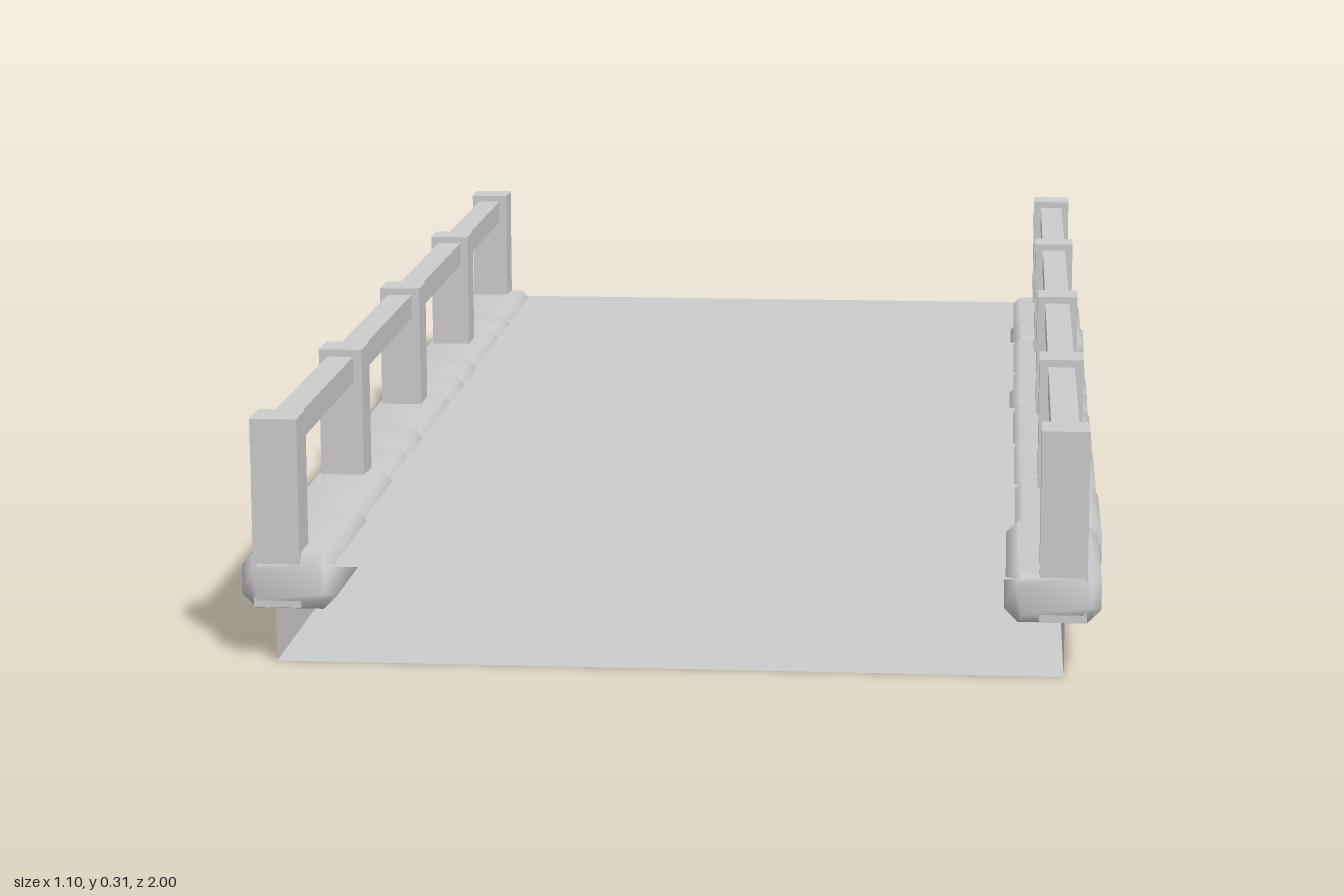
import * as THREE from 'three';
import { mergeVertices } from 'three/addons/utils/BufferGeometryUtils.js';

const grey = new THREE.MeshStandardMaterial({ color: 0xcccccc });
const greyDouble = new THREE.MeshStandardMaterial({ color: 0xcccccc, side: THREE.DoubleSide });

function box(name, w, h, d, x, y, z) {
  const mesh = new THREE.Mesh(new THREE.BoxGeometry(w, h, d), grey);
  mesh.name = name;
  mesh.position.set(x, y, z);
  return mesh;
}

// Chamfered block running along z, softly shaded across its edges
function stoneGeometry(w, h, length) {
  const bevel = 0.013, c = 0.01;
  const x = w / 2 - bevel, y = h / 2 - bevel;
  const shape = new THREE.Shape([
    [x, c - y], [x, y - c], [x - c, y], [c - x, y],
    [-x, y - c], [-x, c - y], [c - x, -y], [x - c, -y],
  ].map(([px, py]) => new THREE.Vector2(px, py)));
  let geo = new THREE.ExtrudeGeometry(shape, {
    depth: length - 2 * bevel, bevelEnabled: true,
    bevelSize: bevel, bevelThickness: bevel, bevelSegments: 1,
  });
  geo.translate(0, 0, bevel - length / 2);
  geo.deleteAttribute('uv');
  geo.deleteAttribute('normal');
  geo = mergeVertices(geo, 1e-4);
  geo.computeVertexNormals();
  return geo;
}

// Each stone: back z, front z, height of centre, outward shift
const stonesLeft = [
  [-1, -0.735, 0.099, 0], [-0.735, -0.6, 0.107, 0.002], [-0.6, -0.335, 0.099, 0],
  [-0.335, -0.195, 0.099, 0], [-0.195, -0.055, 0.103, -0.002], [-0.055, 0.207, 0.099, 0],
  [0.207, 0.472, 0.098, 0], [0.472, 0.735, 0.098, 0.002], [0.735, 1, 0.104, -0.004],
];
const stonesRight = [
  [-1, -0.735, 0.1, 0.002], [-0.735, -0.6, 0.099, 0], [-0.6, -0.335, 0.099, 0.001],
  [-0.335, -0.2, 0.1, 0], [-0.2, -0.06, 0.1, 0], [-0.06, 0.205, 0.099, 0],
  [0.205, 0.34, 0.1, 0.002], [0.34, 0.51, 0.098, 0], [0.495, 0.755, 0.101, -0.001],
  [0.735, 1, 0.103, -0.005],
];

export function createModel() {
  const model = new THREE.Group();
  model.name = 'bridge';

  // Deck: a hollow slab, open at both ends
  const deckGeo = new THREE.BoxGeometry(1, 0.125, 2);
  deckGeo.setIndex(Array.from(deckGeo.index.array).slice(0, 24));
  deckGeo.clearGroups();
  const deck = new THREE.Mesh(deckGeo, greyDouble);
  deck.name = 'deck';
  deck.position.y = 0.0625;
  model.add(deck);

  for (const side of [1, -1]) {
    const label = side > 0 ? 'left' : 'right';

    // Kerb stones
    const kerb = new THREE.Group();
    kerb.name = label + 'Kerb';
    for (const [z0, z1, y, out] of side > 0 ? stonesLeft : stonesRight) {
      const stone = new THREE.Mesh(stoneGeometry(0.122, 0.074, z1 - z0), grey);
      stone.name = 'kerbStone';
      stone.position.set(side * (0.489 + out), y, (z0 + z1) / 2);
      kerb.add(stone);
    }
    model.add(kerb);

    // Railing: five posts joined by one rail
    const railing = new THREE.Group();
    railing.name = label + 'Railing';
    for (const z of [-0.97, -0.5, 0, 0.5, 0.97]) {
      railing.add(box('post', 0.06, 0.245, 0.06, side * 0.498, 0.1925, z));
    }
    railing.add(box('rail', 0.036, 0.036, 1.94, side * 0.498, 0.287, 0));
    model.add(railing);
  }
  return model;
}
